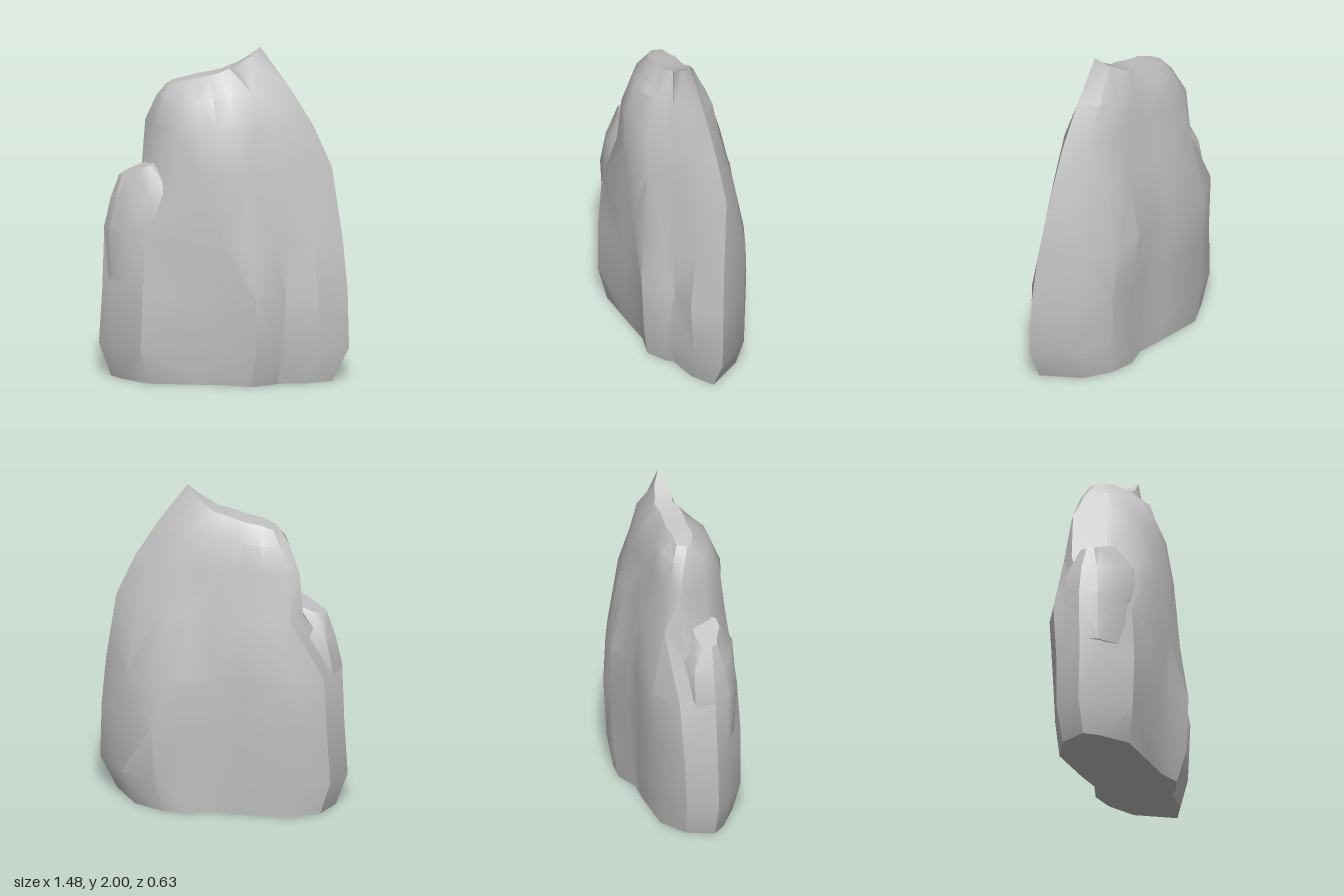
import * as THREE from 'three';
import { toCreasedNormals } from 'three/addons/utils/BufferGeometryUtils.js';

// Lofts rings of [yLeft, yRight, xLeft, xRight, zLeft, zRight, frontDepth, backDepth, sag].
// The low and high profiles scale with each ring's depth and blend by height.
function loftRock(low, high, rings) {
  const { lerp, smoothstep } = THREE.MathUtils;
  const positions = [];
  const index = [];
  const c = low.columns.length;
  const n = 2 * c + 2;

  rings.forEach(([yl, yr, xl, xr, zl, zr, front, back, sag = 0], level) => {
    const blend = smoothstep(yl, 0.65, 1.26);
    const mix = (key, i) => lerp(low[key][i], high[key][i], blend);
    const add = (u, z) => positions.push(
      lerp(xl, xr, u), lerp(yl, yr, u) - sag * 4 * u * u * (1 - u), z
    );
    // Slight unevenness that breaks up the facets
    const rough = (i) => (level ? 0.009 * Math.sin(i * 2.3 + level * 4.1) : 0);
    add(0, zl);
    for (let i = 0; i < c; i++) add(mix('columns', i), front * mix('front', i) + rough(i + 1));
    add(1, zr);
    for (let i = c - 1; i >= 0; i--) add(mix('columns', i), -back * mix('back', i) + rough(i + 9));
  });

  const tri = (a, b, d) => {
    if (a !== b && b !== d && a !== d) index.push(a, b, d);
  };
  // Side facets, with alternating diagonals
  for (let r = 0; r < rings.length - 1; r++) {
    for (let i = 0; i < n; i++) {
      const a = r * n + i, b = r * n + (i + 1) % n;
      const d = a + n, e = b + n;
      if ((r + i) % 2) { tri(a, b, e); tri(a, e, d); }
      else { tri(a, b, d); tri(b, e, d); }
    }
  }
  // Top and bottom caps, bridging front to back
  const top = (rings.length - 1) * n;
  for (let a = 0; a <= c; a++) {
    const b = a + 1, d = n - a - 1, e = (n - a) % n;
    tri(top + a, top + b, top + d);
    tri(top + a, top + d, top + e);
    tri(b, a, d);
    tri(d, a, e);
  }

  const geometry = new THREE.BufferGeometry();
  geometry.setAttribute('position', new THREE.Float32BufferAttribute(positions, 3));
  geometry.setIndex(index);
  return toCreasedNormals(geometry, 0.6);
}

export function createModel() {
  const group = new THREE.Group();
  group.name = 'standingRock';
  const stone = new THREE.MeshStandardMaterial({ color: 0xc4c4c4 });
  stone.name = 'grey stone';

  const addRock = (name, low, high, rings) => {
    const mesh = new THREE.Mesh(loftRock(low, high, rings), stone);
    mesh.name = name;
    group.add(mesh);
  };

  // Main slab: a step low on the front turns into a ridge leaning towards the peak
  const slabLow = {
    columns: [0.05, 0.18, 0.42, 0.54, 0.645, 0.735, 0.76, 0.89],
    front: [0.42, 0.88, 0.88, 0.87, 1.02, 0.77, 0.62, 0.52],
    back: [0.5, 0.88, 0.87, 0.83, 1.03, 0.98, 0.96, 0.64]
  };
  const slabHigh = {
    columns: [0.06, 0.2, 0.34, 0.46, 0.58, 0.68, 0.74, 0.88],
    front: [0.3, 0.82, 1, 1, 0.88, 0.6, 0.48, 0.22],
    back: [0.85, 1, 1, 0.95, 1.02, 1, 0.95, 0.7]
  };
  addRock('mainSlab', slabLow, slabHigh, [
    [0, 0, -0.67, 0.64, 0.03, 0.05, 0.25, 0.26],
    [0.2, 0.2, -0.74, 0.74, 0.03, 0.04, 0.29, 0.28],
    [0.53, 0.55, -0.72, 0.73, 0.03, 0.03, 0.3, 0.295],
    [0.88, 0.85, -0.71, 0.7, 0.02, 0.01, 0.295, 0.305],
    [1.26, 1.28, -0.5, 0.63, -0.12, -0.04, 0.275, 0.23],
    [1.52, 1.53, -0.48, 0.52, -0.12, -0.03, 0.245, 0.18],
    [1.68, 1.76, -0.41, 0.38, -0.07, -0.02, 0.175, 0.155],
    [1.76, 2, -0.35, 0.21, -0.03, -0.01, 0.04, 0.09, 0.09]
  ]);

  // Lower shoulder merging into the slab's right side
  const shoulder = {
    columns: [0.08, 0.3, 0.55, 0.8],
    front: [0.5, 0.8, 1, 1],
    back: [0.6, 0.9, 1, 0.7]
  };
  addRock('shoulder', shoulder, shoulder, [
    [0.6, 0.6, -0.7, -0.2, 0.03, 0.1, 0.24, 0.1],
    [0.9, 0.92, -0.71, -0.22, 0.02, 0.1, 0.245, 0.15],
    [1.08, 1.19, -0.67, -0.22, 0.02, 0.1, 0.22, 0.13],
    [1.22, 1.32, -0.62, -0.38, 0.03, 0.05, 0.12, 0.04]
  ]);

  return group;
}
